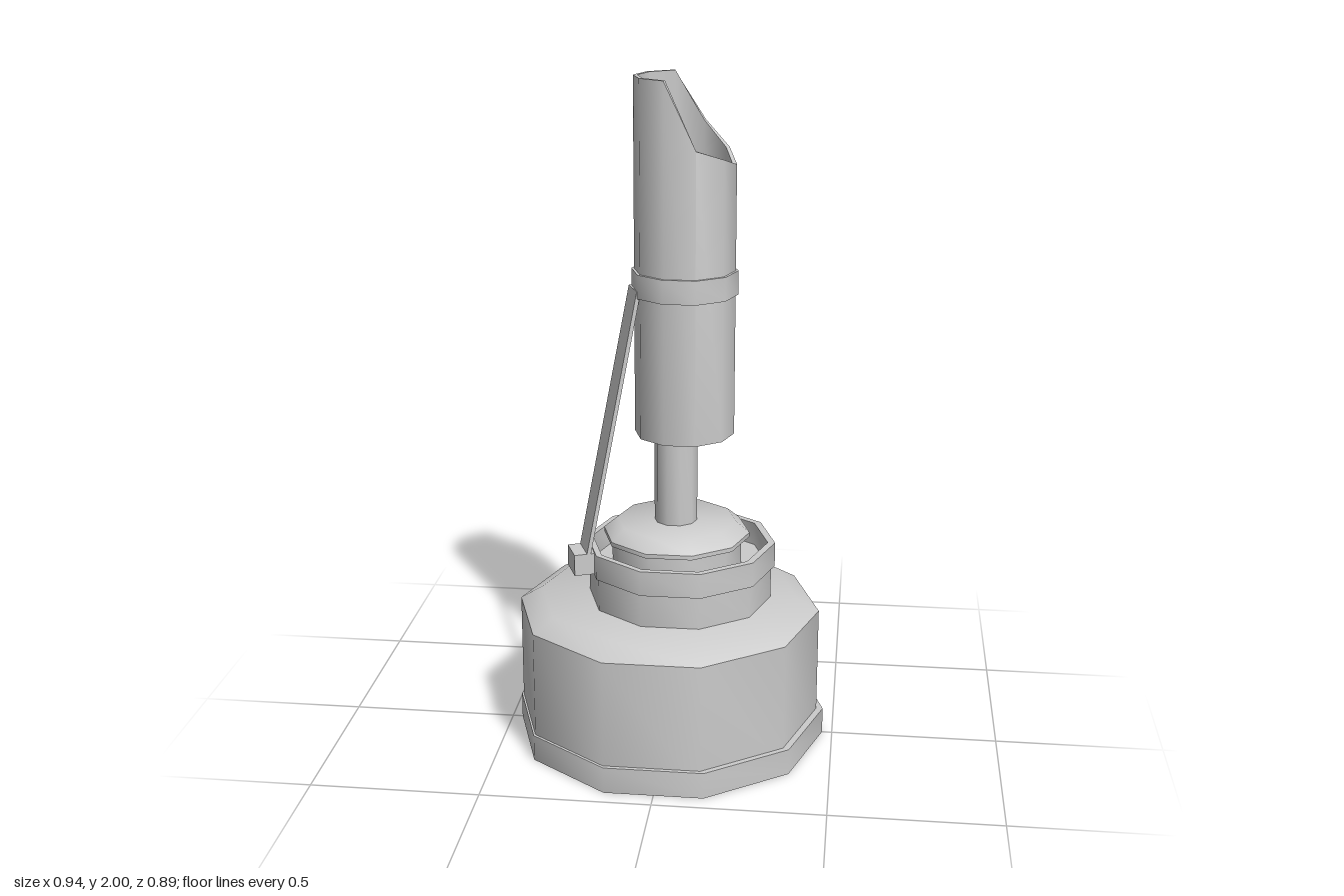
import * as THREE from 'three';
import { toCreasedNormals } from 'three/addons/utils/BufferGeometryUtils.js';

const SIDES = 10;
const material = new THREE.MeshStandardMaterial({ color: 0xcccccc });

// Ten-sided turned geometry, profile given as [radius, y] running up the outside
function turned(profile) {
  const points = profile.map(([r, y]) => new THREE.Vector2(r, y));
  return new THREE.LatheGeometry(points, SIDES, Math.PI / 2);
}

function add(parent, name, geometry, x = 0, z = 0) {
  const mesh = new THREE.Mesh(toCreasedNormals(geometry, Math.PI / 4), material);
  mesh.name = name;
  mesh.position.set(x, 0, z);
  parent.add(mesh);
  return mesh;
}

// Closed ring with a rectangular section
const ring = (inner, outer, y0, y1) =>
  turned([[inner, y0], [outer, y0], [outer, y1], [inner, y1], [inner, y0]]);

// Side profile pushed to a centred width
function slab(corners, width) {
  const shape = new THREE.Shape(corners.map(([x, y]) => new THREE.Vector2(x, y)));
  return new THREE.ExtrudeGeometry(shape, { depth: width, bevelEnabled: false })
    .translate(0, 0, -width / 2);
}

export function createModel() {
  const model = new THREE.Group();
  model.name = 'model';

  // Base
  add(model, 'baseFlange', turned([[0, 0], [0.47, 0], [0.47, 0.08], [0, 0.08]]));
  add(model, 'baseDrum', turned([[0, 0.02], [0.457, 0.02], [0.457, 0.405], [0.39, 0.445], [0, 0.445]]), -0.007);

  // Recessed collar with a slightly wider lip
  add(model, 'collar', turned([
    [0, 0.43], [0.276, 0.43], [0.276, 0.62], [0.265, 0.62], [0.265, 0.55], [0, 0.55],
  ]), 0.027);
  add(model, 'collarLip', ring(0.267, 0.285, 0.545, 0.62), 0.029);

  // Cap and rod
  add(model, 'cap', turned([
    [0, 0.54], [0.195, 0.54], [0.195, 0.637], [0.22, 0.637], [0.22, 0.65], [0.178, 0.685], [0, 0.685],
  ]), 0.017);
  add(model, 'rod', turned([[0, 0.67], [0.064, 0.67], [0.064, 1.2], [0, 1.2]]), 0.015);

  // Hollow tube, its rim lowered on the +x half to form the slanted mouth
  const tube = ring(0.135, 0.147, 0.96, 2);
  const frontRim = [1.755, 1.78, 1.81, 2, 2, 2];
  const backRim = [1.755, 1.79, 1.86, 2, 2, 2];
  const p = tube.attributes.position;
  for (let i = 0; i < p.count; i++) {
    if (p.getY(i) < 1.9) continue;
    const angle = Math.atan2(p.getZ(i), p.getX(i));
    const step = Math.round(Math.abs(angle) * SIDES / (2 * Math.PI));
    p.setY(i, (angle > 0 ? frontRim : backRim)[step]);
  }
  add(model, 'tube', tube, 0.04);
  add(model, 'tubeBand', ring(0.145, 0.155, 1.38, 1.45), 0.04);

  // Strap from band to collar, and the clip at its foot
  const strap = new THREE.Group();
  strap.name = 'strapAssembly';
  strap.position.set(-0.1, 0, 0.04);
  strap.rotation.y = Math.PI + 0.384;
  add(strap, 'strap', slab([[0.157, 0.58], [0.169, 0.58], [0.006, 1.4], [-0.006, 1.4]], 0.092));
  add(strap, 'strapClip', slab([[0.135, 0.55], [0.2, 0.55], [0.2, 0.615], [0.135, 0.615]], 0.092));
  model.add(strap);

  return model;
}
